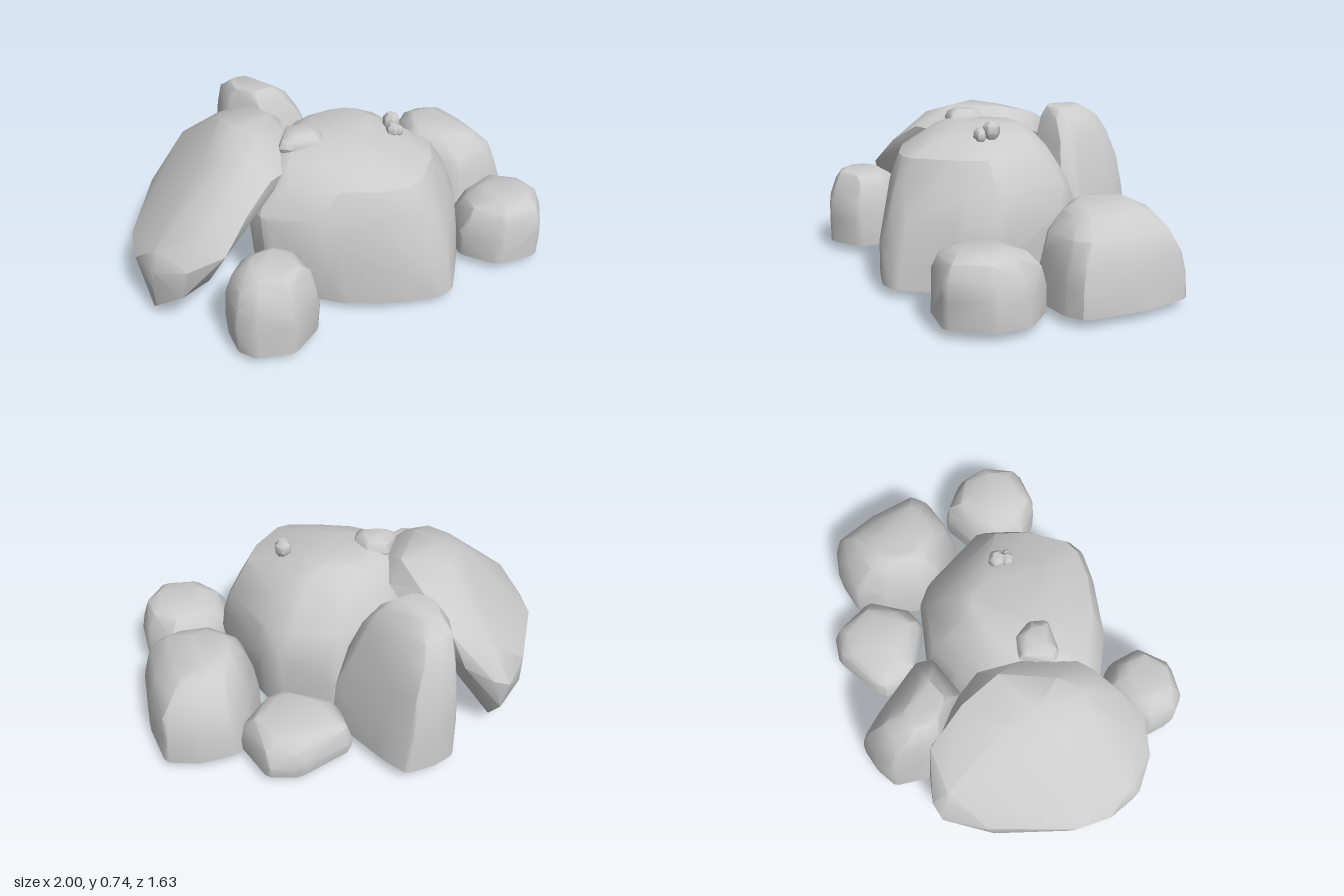
import * as THREE from 'three';
import { ConvexGeometry } from 'three/addons/geometries/ConvexGeometry.js';
import { toCreasedNormals } from 'three/addons/utils/BufferGeometryUtils.js';

const material = new THREE.MeshStandardMaterial({ color: 0xcccccc });

function stone(name, points) {
  const mesh = new THREE.Mesh(toCreasedNormals(new ConvexGeometry(points), 0.6), material);
  mesh.name = name;
  return mesh;
}

// Bevel each corner of a closed plan outline of [x, z] pairs
function bevel(outline, t = 0.1) {
  return outline.flatMap((p, i) => {
    const n = outline[(i + 1) % outline.length];
    const mix = (k) => [p[0] + (n[0] - p[0]) * k, p[1] + (n[1] - p[1]) * k];
    return [mix(t), mix(1 - t)];
  });
}

// Boulder from a plan outline repeated at levels [y, scaleX, shiftX, shiftZ, scaleZ]
function boulder(name, outline, levels, rough = 0.012) {
  const xs = outline.map((p) => p[0]), zs = outline.map((p) => p[1]);
  const cx = (Math.min(...xs) + Math.max(...xs)) / 2;
  const cz = (Math.min(...zs) + Math.max(...zs)) / 2;
  const points = [];
  levels.forEach(([y, sx, dx = 0, dz = 0, sz = sx], l) => {
    bevel(outline).forEach(([x, z], i) => {
      const chip = 1 + rough * Math.sin(i * 5.3 + l * 2.7);
      const lift = l === 0 ? 0 : rough * Math.sin(i * 2.9 + l * 4.1);
      points.push(new THREE.Vector3(cx + dx + (x - cx) * sx * chip, y + lift, cz + dz + (z - cz) * sz * chip));
    });
  });
  return stone(name, points);
}

export function createModel() {
  const group = new THREE.Group();
  group.name = 'rockPile';

  // Large central boulder, its pointed front sloping back as it rises
  group.add(boulder('centralBoulder',
    [[0.0, -0.31], [0.19, -0.28], [0.37, -0.12], [0.43, 0.0], [0.43, 0.42], [0.3, 0.56], [0.07, 0.71],
      [-0.02, 0.71], [-0.16, 0.63], [-0.38, 0.43], [-0.55, 0.16], [-0.53, 0.02], [-0.38, -0.18], [-0.15, -0.3]],
    [[0.04, 0.94, 0.01, 0, 0.99], [0.2, 0.99, 0, -0.01, 0.97], [0.34, 1, 0, -0.025, 0.92],
      [0.45, 0.97, -0.02, -0.035, 0.86], [0.58, 0.78, -0.02, -0.03, 0.73], [0.65, 0.6, -0.02, -0.09, 0.48],
      [0.685, 0.42, -0.02, -0.14, 0.27]]));

  // Broad slab leaning against the central boulder
  group.add(stone('leaningSlab', [
    // upper rim and crown
    [-0.42, 0.72, -0.04], [-0.45, 0.73, -0.2], [-0.22, 0.72, -0.2], [-0.19, 0.675, -0.4], [-0.13, 0.64, -0.24],
    [-0.13, 0.58, -0.36], [-0.2, 0.56, -0.62], [-0.26, 0.62, -0.52], [-0.37, 0.61, 0.1], [-0.5, 0.62, 0.13],
    [-0.55, 0.68, 0.02], [-0.63, 0.645, -0.05], [-0.6, 0.65, -0.2], [-0.4, 0.7, -0.35], [-0.38, 0.66, 0.04],
    [-0.24, 0.67, -0.08],
    // front and left rim
    [-0.66, 0.53, 0.16], [-0.8, 0.4, 0.18], [-0.82, 0.46, 0.08], [-0.93, 0.33, 0.08], [-1, 0.28, -0.07],
    [-0.96, 0.37, -0.1], [-0.98, 0.26, -0.25], [-1, 0.18, -0.1], [-0.94, 0.18, 0.04],
    // back rim
    [-0.9, 0.27, -0.4], [-0.6, 0.3, -0.68], [-0.42, 0.3, -0.79], [-0.34, 0.34, -0.77], [-0.24, 0.4, -0.68],
    [-0.38, 0.48, -0.7], [-0.4, 0.16, -0.77], [-0.62, 0.14, -0.66], [-0.88, 0.12, -0.4],
    // foot
    [-0.96, 0.01, -0.18], [-0.9, 0, -0.17], [-0.9, 0.02, -0.33], [-0.58, 0.03, -0.63], [-0.42, 0.04, -0.68],
    [-0.52, 0.03, -0.42], [-0.68, 0.02, -0.14], [-0.98, 0.06, -0.12],
  ].map((p) => new THREE.Vector3(...p))));

  // Tall upright rock at the back, leaning towards the slab
  group.add(boulder('tallRock',
    [[-0.1, -0.81], [0.02, -0.82], [0.14, -0.79], [0.18, -0.67], [0.24, -0.33], [0.18, -0.26],
      [-0.1, -0.3], [-0.14, -0.38], [-0.23, -0.56], [-0.19, -0.67]],
    [[0.05, 1], [0.25, 0.94, -0.01, 0, 0.98], [0.42, 0.82, -0.03, 0, 0.9], [0.56, 0.68, -0.05, 0, 0.76],
      [0.65, 0.54, -0.075, 0, 0.6], [0.7, 0.36, -0.09, 0.02, 0.36]]));

  // Rounded rock on the left side
  group.add(boulder('sideRock',
    [[0.71, -0.28], [0.88, -0.24], [1, -0.15], [0.97, 0.1], [0.88, 0.36], [0.79, 0.38], [0.57, 0.33],
      [0.43, 0.1], [0.45, -0.03], [0.58, -0.2]],
    [[0.04, 1], [0.15, 0.98], [0.25, 0.91], [0.33, 0.8, -0.01, 0.01], [0.4, 0.6, -0.03, -0.01],
      [0.43, 0.36, -0.05, -0.02]]));

  // Low rock at the back left
  group.add(boulder('lowRock',
    [[0.25, -0.54], [0.55, -0.56], [0.67, -0.48], [0.68, -0.23], [0.5, -0.12], [0.38, -0.12], [0.2, -0.35]],
    [[0.04, 0.96], [0.1, 0.99], [0.16, 0.9], [0.2, 0.72], [0.22, 0.5]]));

  // Small rocks at the front
  group.add(boulder('frontLeftRock',
    [[0.38, 0.43], [0.49, 0.38], [0.7, 0.38], [0.78, 0.55], [0.74, 0.71], [0.57, 0.83], [0.37, 0.74], [0.3, 0.56]],
    [[0.04, 0.98], [0.16, 0.99], [0.23, 0.92, 0, 0.01], [0.29, 0.76, 0, 0.02], [0.32, 0.5, 0.01, 0.02]]));
  group.add(boulder('frontRightRock',
    [[-0.85, 0.2], [-0.72, 0.14], [-0.53, 0.18], [-0.48, 0.32], [-0.53, 0.48], [-0.72, 0.53], [-0.87, 0.43], [-0.9, 0.34]],
    [[0.04, 0.95], [0.16, 0.97], [0.25, 0.94], [0.34, 0.79], [0.38, 0.62], [0.395, 0.42]]));

  // Flat stone and pebbles resting on the top
  group.add(boulder('topStone',
    [[-0.24, -0.08], [-0.15, -0.02], [-0.14, 0.08], [-0.2, 0.15], [-0.34, 0.07], [-0.36, 0.02]],
    [[0.63, 0.85], [0.68, 1], [0.71, 0.85], [0.73, 0.5, 0.01]], 0.004));
  for (const [x, y, z, r] of [[0.165, 0.695, 0.21, 0.042], [0.135, 0.675, 0.25, 0.033], [0.155, 0.67, 0.265, 0.025]]) {
    const ring = Array.from({ length: 6 }, (_, i) => [x + r * Math.cos(i * 1.047), z + r * Math.sin(i * 1.047)]);
    group.add(boulder('pebble', ring,
      [[y - r, 0.6], [y - r * 0.3, 1], [y + r * 0.4, 0.95], [y + r * 0.9, 0.5]], 0.003));
  }
  return group;
}
